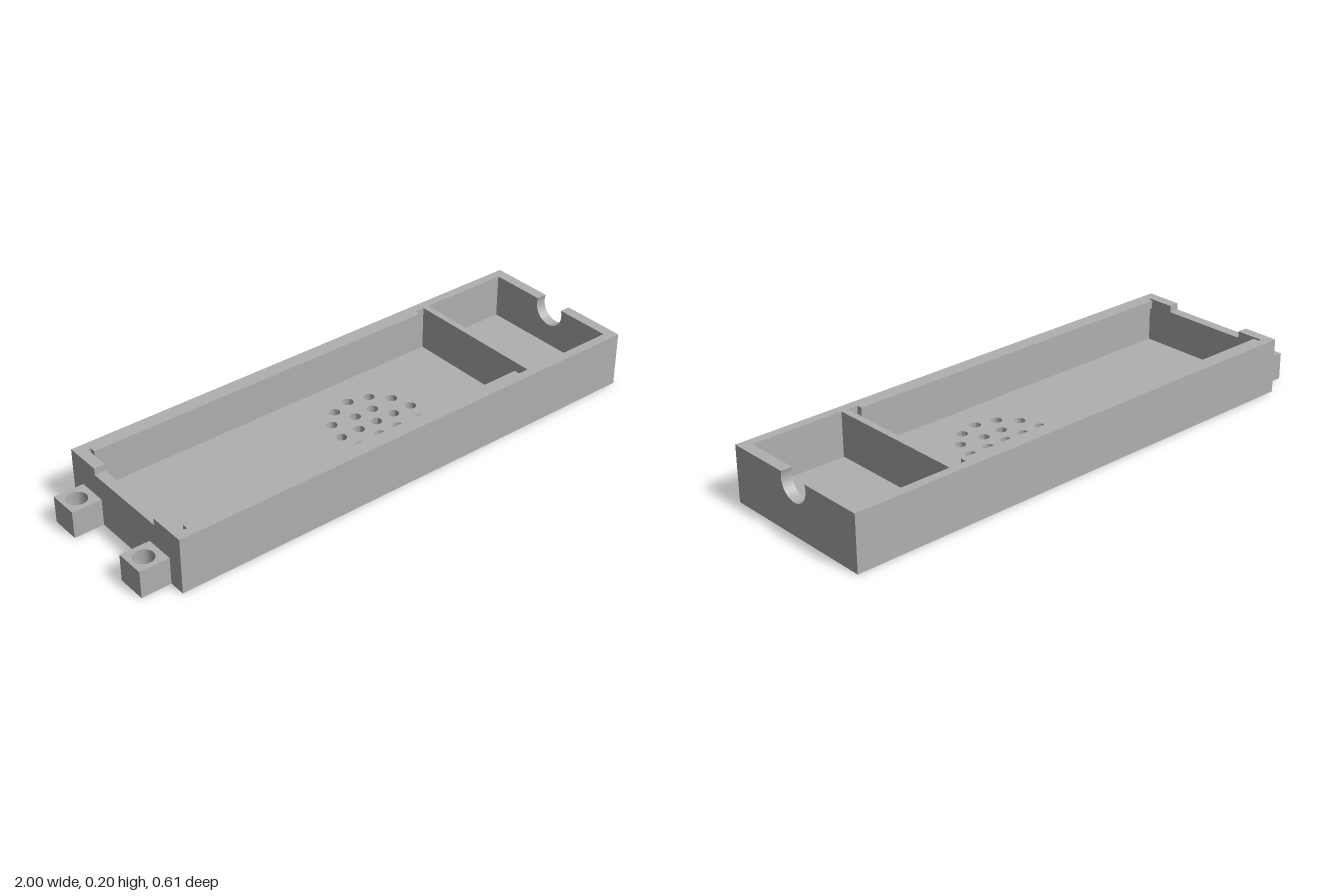
import * as THREE from 'three';
import { toCreasedNormals } from 'three/addons/utils/BufferGeometryUtils.js';

// Body extents
const X0 = -0.89, X1 = 1, W = 0.306, H = 0.205;
const FLOOR = 0.04, INNER = 0.272;
const END_L = -0.85, END_R = 0.96, DIV_L = 0.585, DIV_R = 0.61;

export function createModel() {
  const group = new THREE.Group();
  const grey = new THREE.MeshStandardMaterial({ color: 0xb0b0b0 });
  grey.name = 'grey plastic';

  const add = (name, geometry) => {
    const mesh = new THREE.Mesh(geometry, grey);
    mesh.name = name;
    group.add(mesh);
    return mesh;
  };
  const box = (name, x0, x1, y0, y1, z0, z1) => add(name,
    new THREE.BoxGeometry(x1 - x0, y1 - y0, z1 - z0)
      .translate((x0 + x1) / 2, (y0 + y1) / 2, (z0 + z1) / 2));
  const extrude = (shape, depth) => new THREE.ExtrudeGeometry(shape,
    { depth, bevelEnabled: false, curveSegments: 24 });
  const outline = (points) => new THREE.Shape(points.map(([x, y]) => new THREE.Vector2(x, y)));
  const punch = (shape, x, y, r) =>
    shape.holes.push(new THREE.Path().absarc(x, y, r, 0, Math.PI * 2, true));

  // Horizontal plate standing on the ground, with drilled holes
  const plate = (name, x0, x1, z0, z1, height, holes) => {
    const shape = outline([[x0, -z1], [x1, -z1], [x1, -z0], [x0, -z0]]);
    holes.forEach(([x, z, r]) => punch(shape, x, -z, r));
    add(name, toCreasedNormals(extrude(shape, height).rotateX(-Math.PI / 2), 0.6));
  };
  // Upright end wall from a z-y profile
  const endWall = (name, shape, x0, x1) => add(name,
    toCreasedNormals(extrude(shape, x1 - x0).rotateY(Math.PI / 2).translate(x0, 0, 0), 0.6));

  // Floor with a round grille: centre hole plus rings of 6 and 12
  const grille = [[0.135, 0, 0.02]];
  [[6, 0.078], [12, 0.156]].forEach(([count, radius]) => {
    for (let i = 0; i < count; i++) {
      const a = (i / count) * Math.PI * 2;
      grille.push([0.135 + radius * Math.cos(a), radius * Math.sin(a), 0.02]);
    }
  });
  plate('floor', X0, X1, -W, W, FLOOR, grille);

  // Long walls with overhanging lips that retain a cover
  for (const [side, s] of [['front', 1], ['back', -1]]) {
    const z = [s * INNER, s * W].sort((a, b) => a - b);
    box(side + 'Wall', END_L, END_R, FLOOR, H, z[0], z[1]);
    const l = [s * 0.25, s * INNER].sort((a, b) => a - b);
    box(side + 'Lip', -0.838, 0.545, H - 0.03, H, l[0], l[1]);
  }

  // Divider between the two compartments
  box('divider', DIV_L, DIV_R, FLOOR, H, -INNER, INNER);

  // Left end wall with a shallow wide notch
  const n = 0.168, ny = H - 0.025;
  endWall('notchedEndWall', outline([[-W, FLOOR], [W, FLOOR], [W, H], [n, H],
    [n, ny], [-n, ny], [-n, H], [-W, H]]), X0, END_L);

  // Right end wall with a round cable cutout open at the top
  const cy = 0.183, r = 0.063, a = Math.asin((H - cy) / r);
  const cable = outline([[-W, FLOOR], [W, FLOOR], [W, H], [r * Math.cos(a), H]]);
  cable.absarc(0, cy, r, a, Math.PI - a, true);
  cable.lineTo(-W, H);
  endWall('cableEndWall', cable, END_R, X1);

  // Mounting lugs with screw holes
  for (const [name, z] of [['frontLug', 0.19], ['backLug', -0.194]]) {
    plate(name, -1, X0, z - 0.055, z + 0.055, 0.1, [[-0.948, z, 0.036]]);
  }
  return group;
}
